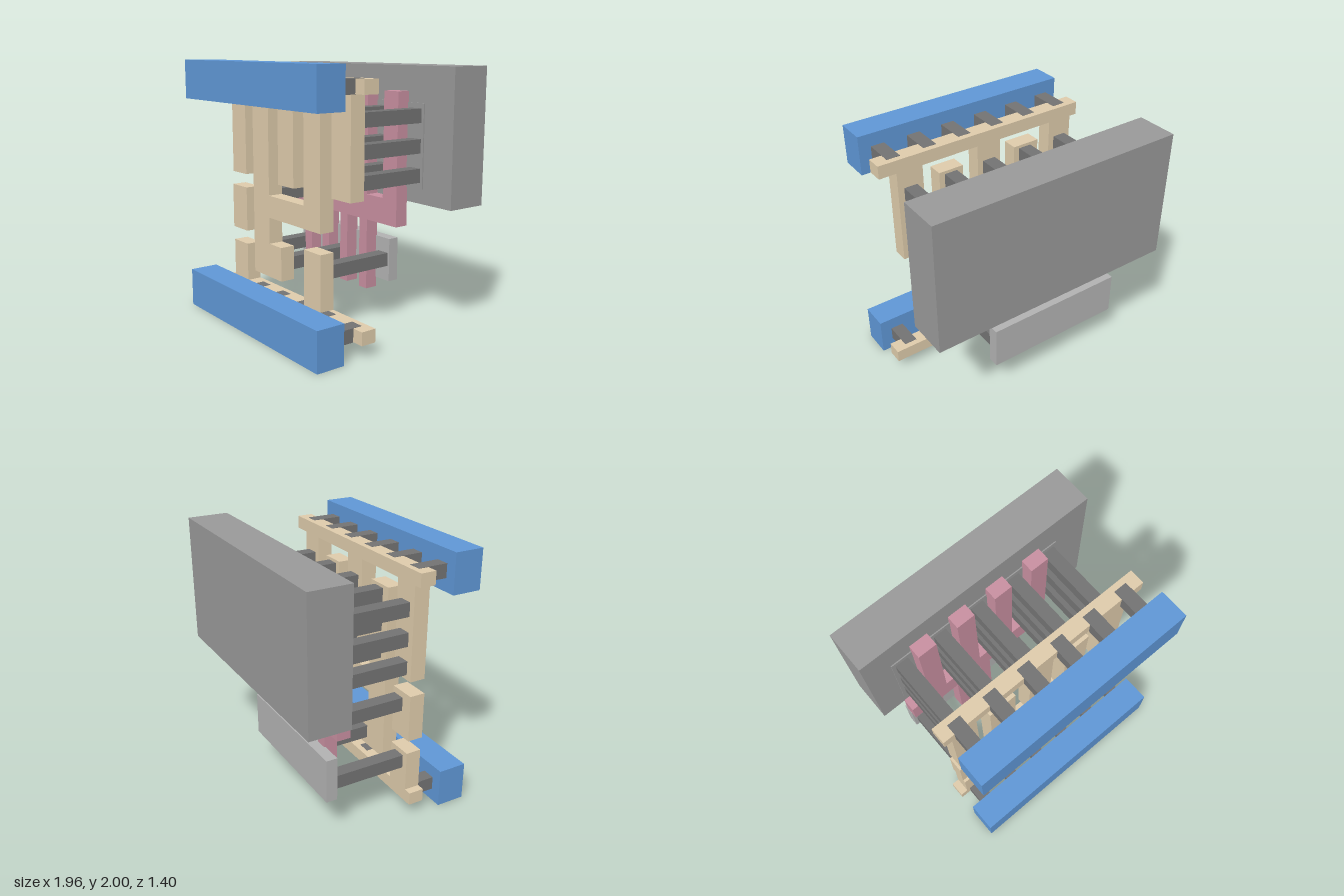
import * as THREE from 'three';

const mat = (color) => new THREE.MeshStandardMaterial({ color, flatShading: true });

export function createModel() {
  const model = new THREE.Group();
  const blue = mat(0x5f97d6), tan = mat(0xdecbab), pink = mat(0xc88fa0);
  const darkGrey = mat(0x737373), midGrey = mat(0x999999), lightGrey = mat(0xb2b2b2);

  // Box given by its limits on each axis
  function block(name, material, [x0, x1], [y0, y1], [z0, z1], parent = model) {
    const mesh = new THREE.Mesh(new THREE.BoxGeometry(x1 - x0, y1 - y0, z1 - z0), material);
    mesh.position.set((x0 + x1) / 2, (y0 + y1) / 2, (z0 + z1) / 2);
    mesh.name = name;
    parent.add(mesh);
  }

  // Flat outline in x/y, extruded from z0 to z1
  function plate(name, material, outline, [z0, z1]) {
    const shape = new THREE.Shape(outline.map(([x, y]) => new THREE.Vector2(x, y)));
    const geometry = new THREE.ExtrudeGeometry(shape, { depth: z1 - z0, bevelEnabled: false });
    const mesh = new THREE.Mesh(geometry, material);
    mesh.position.z = z0;
    mesh.name = name;
    model.add(mesh);
  }

  // Outline of a bar with fingers [x0, x1, tip] leaving its inner edge
  function comb(left, right, outer, inner, fingers) {
    const points = [[right, inner], [right, outer], [left, outer], [left, inner]];
    for (const [x0, x1, tip] of fingers) points.push([x0, inner], [x0, tip], [x1, tip], [x1, inner]);
    return points;
  }

  // Front power rails
  block('lowerRail', blue, [-0.86, 0.86], [0, 0.3], [0.475, 0.7]);
  block('upperRail', blue, [-0.86, 0.86], [1.7, 2], [0.475, 0.7]);

  // Wiring layer
  const wireZ = [0.2, 0.32];
  plate('upperWire', tan, comb(-0.86, 0.86, 1.9, 1.8,
    [[-0.8, -0.6, 1.09], [-0.14, 0.06, 1.07], [0.52, 0.725, 1.07]]), wireZ);
  plate('lowerWire', tan, comb(-0.86, 0.86, 0.1, 0.2,
    [[-0.8, -0.6, 0.51], [0.19, 0.39, 0.635]]), wireZ);
  plate('outputWire', tan, [
    [-0.49, 0.31], [-0.11, 0.31], [-0.11, 0.58], [-0.27, 0.58], [-0.27, 0.79], [0.39, 0.79],
    [0.39, 1.69], [0.19, 1.69], [0.19, 0.965], [-0.27, 0.965], [-0.27, 1.69], [-0.49, 1.69],
  ], wireZ);
  block('inputPad', tan, [-0.81, -0.6], [0.62, 0.98], wireZ);

  // Short pegs joining the rails to the wiring
  const railPegs = new THREE.Group();
  railPegs.name = 'railPegs';
  model.add(railPegs);
  for (let i = 0; i < 6; i++) {
    const x = -0.72 + i * 0.287;
    for (const y of [0.15, 1.85]) {
      block('railPeg', darkGrey, [x - 0.052, x + 0.052], [y - 0.052, y + 0.052], [0.245, 0.48], railPegs);
    }
  }

  // Long pegs running back from the wiring
  const longPegs = new THREE.Group();
  longPegs.name = 'longPegs';
  model.add(longPegs);
  const longPeg = (x, y, back = -0.375) =>
    block('longPeg', darkGrey, [x - 0.052, x + 0.052], [y - 0.052, y + 0.052], [back, 0.21], longPegs);
  for (let i = 0; i < 5; i++) {
    for (const y of [1.18, 1.395, 1.615]) longPeg(-0.7 + i * 0.331, y);
  }
  longPeg(-0.7, 0.42);
  longPeg(-0.21, 0.425);
  longPeg(0.29, 0.473);
  longPeg(-0.665, 0.88, -0.381);

  // Gate layer: a cross bar with four wide fingers up and four narrow ones down
  const gate = [[-0.79, 0.98], [-0.79, 0.78]];
  for (let i = 0; i < 4; i++) {
    const x = -0.61 + i * 0.241;
    gate.push([x, 0.78], [x, 0.22], [x + 0.09, 0.22], [x + 0.09, 0.78]);
  }
  gate.push([0.535, 0.78]);
  for (let i = 3; i >= 0; i--) {
    const x = -0.61 + i * 0.331;
    if (i < 3) gate.push([x + 0.15, 0.98]);
    gate.push([x + (i < 3 ? 0.15 : 0.152), 1.785], [x, 1.785], [x, 0.98]);
  }
  plate('gateLayer', pink, gate, [-0.38, -0.275]);

  // Back blocks
  block('backWell', midGrey, [-0.98, 0.98], [0.97, 1.97], [-0.7, -0.38]);
  block('upperStrip', midGrey, [-0.78, 0.7], [1.08, 1.705], [-0.46, -0.371]);
  block('lowerStrip', lightGrey, [-0.78, 0.36], [0.3, 0.64], [-0.457, -0.371]);

  return model;
}
